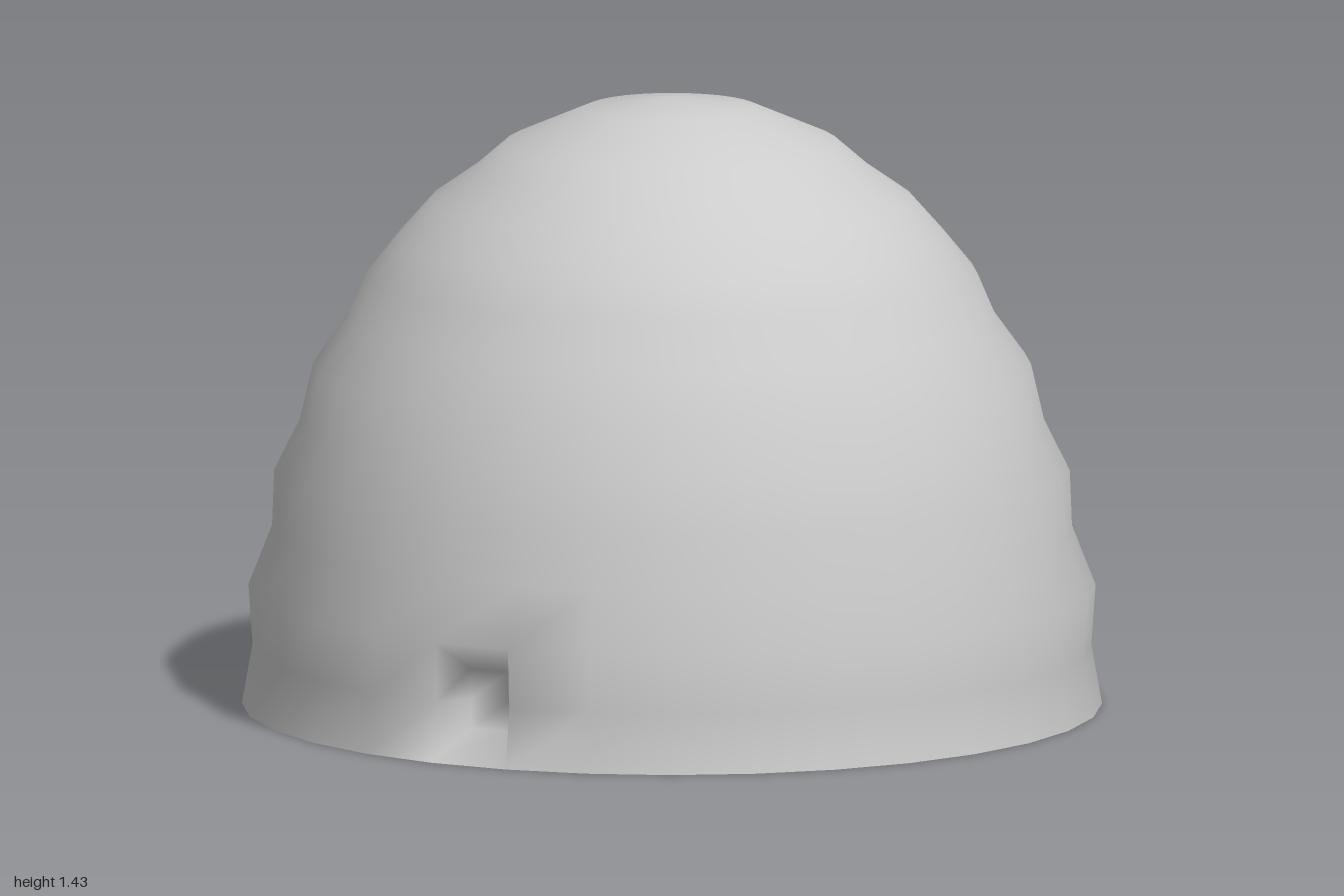
import * as THREE from 'three';

const SIDES = 32;

// Ribbed dome outline, [radius, height] from rim to crown
const PROFILE = [
  [1.0, 0], [0.975, 0.14], [0.985, 0.28], [0.93, 0.42], [0.925, 0.55],
  [0.865, 0.67], [0.835, 0.8], [0.755, 0.91], [0.71, 1.015], [0.64, 1.1],
  [0.56, 1.19], [0.46, 1.26], [0.385, 1.325], [0.2, 1.405],
];
const CROWN = 1.43;

function domeGeometry() {
  const pos = [], index = [];
  const quad = (a, b, c, d) => index.push(a, b, c, a, c, d);
  const at = (row, k) => row * SIDES + (k % SIDES);

  // Rings of vertices, turned half a step so one panel faces the front
  for (const [r, y] of PROFILE) {
    for (let k = 0; k < SIDES; k++) {
      const a = ((k + 0.5) * 2 * Math.PI) / SIDES;
      pos.push(r * Math.sin(a), y, r * Math.cos(a));
    }
  }
  const rows = PROFILE.length;
  const front = SIDES - 1;

  // Wall panels, leaving the two lowest front ones open for the entrance
  for (let j = 0; j < rows - 1; j++) {
    for (let k = 0; k < SIDES; k++) {
      if (k === front && j < 2) continue;
      quad(at(j, k), at(j, k + 1), at(j + 1, k + 1), at(j + 1, k));
    }
  }

  // Crown fan
  const tip = pos.length / 3;
  pos.push(0, CROWN, 0);
  for (let k = 0; k < SIDES; k++) index.push(at(rows - 1, k), at(rows - 1, k + 1), tip);

  // Entrance recess: a smaller panel pushed inward and joined to the opening
  const inner = pos.length / 3;
  for (const y of [0.07, 0.14, 0.21]) pos.push(-0.05, y, 0.89, 0.05, y, 0.89);
  const L = (j) => inner + 2 * j, R = (j) => inner + 2 * j + 1;
  const outL = (j) => at(j, front), outR = (j) => at(j, 0);
  for (let j = 0; j < 2; j++) {
    quad(L(j), R(j), R(j + 1), L(j + 1)); // back panel
    quad(outL(j), L(j), L(j + 1), outL(j + 1)); // side walls
    quad(R(j), outR(j), outR(j + 1), R(j + 1));
  }
  quad(outL(0), outR(0), R(0), L(0)); // sloping sill
  quad(L(2), R(2), outR(2), outL(2)); // lintel

  const g = new THREE.BufferGeometry();
  g.setAttribute('position', new THREE.Float32BufferAttribute(pos, 3));
  g.setIndex(index);
  g.computeVertexNormals();
  return g;
}

export function createModel() {
  const group = new THREE.Group();
  group.name = 'hive';
  const material = new THREE.MeshStandardMaterial({ color: 0xcccccc, side: THREE.DoubleSide });
  const dome = new THREE.Mesh(domeGeometry(), material);
  dome.name = 'domeWithEntrance';
  group.add(dome);
  return group;
}
